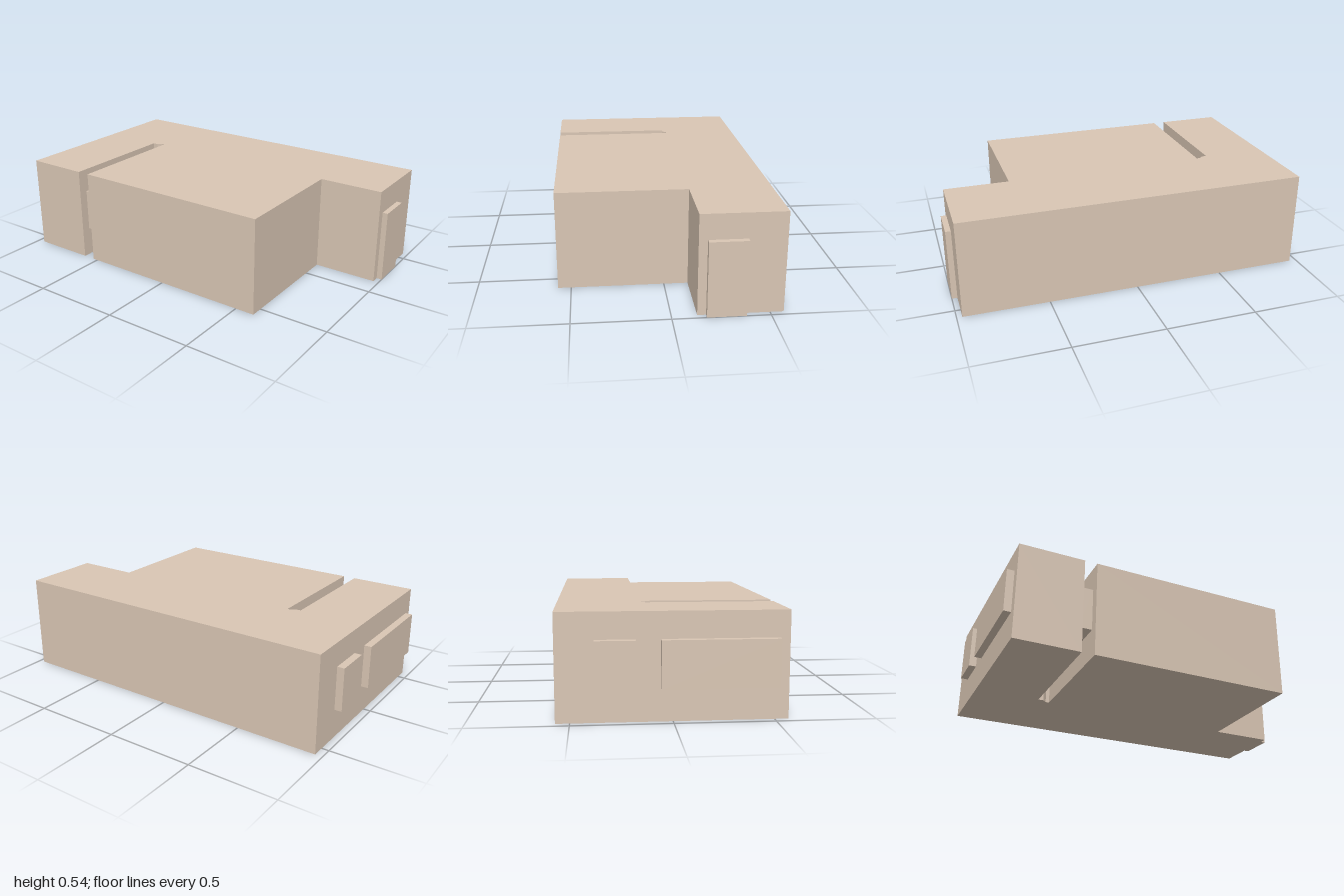
import * as THREE from 'three';

const HEIGHT = 0.54;
const material = new THREE.MeshStandardMaterial({ color: 0xd9c6b4, flatShading: true });

// Box given by its [min, max] range on each axis
function box(name, [x0, x1], [y0, y1], [z0, z1]) {
  const mesh = new THREE.Mesh(new THREE.BoxGeometry(x1 - x0, y1 - y0, z1 - z0), material);
  mesh.position.set((x0 + x1) / 2, (y0 + y1) / 2, (z0 + z1) / 2);
  mesh.name = name;
  return mesh;
}

export function createModel() {
  const group = new THREE.Group();
  group.name = 'buildingBlock';

  // Floor plan as [x, z]: stepped right corner and a narrow slot open to the front
  const plan = [
    [-0.96, -0.57], [-0.96, 0.57], [-0.6, 0.57],
    [-0.6, -0.11], [-0.57, -0.11], [-0.55, -0.13], [-0.53, -0.13],
    [-0.53, 0.57], [0.61, 0.57], [0.61, -0.13], [0.97, -0.13], [0.97, -0.57],
  ];
  const shape = new THREE.Shape(plan.map(([x, z]) => new THREE.Vector2(x, -z)));
  const geometry = new THREE.ExtrudeGeometry(shape, { depth: HEIGHT, bevelEnabled: false });
  geometry.rotateX(-Math.PI / 2);
  const walls = new THREE.Mesh(geometry, material);
  walls.name = 'mainBody';
  group.add(walls);

  // Window panels on the outer wall and bridging the slot
  const sill = [0.165, 0.405];
  group.add(box('smallWindow', [-1, -0.96], sill, [-0.38, -0.18]));
  group.add(box('wideWindow', [-1, -0.96], sill, [-0.06, 0.52]));
  group.add(box('slotWindow', [-0.6, -0.53], sill, [-0.06, 0.52]));

  // Door panel reaching the ground
  group.add(box('door', [0.97, 1], [0, 0.405], [-0.375, -0.175]));

  return group;
}
